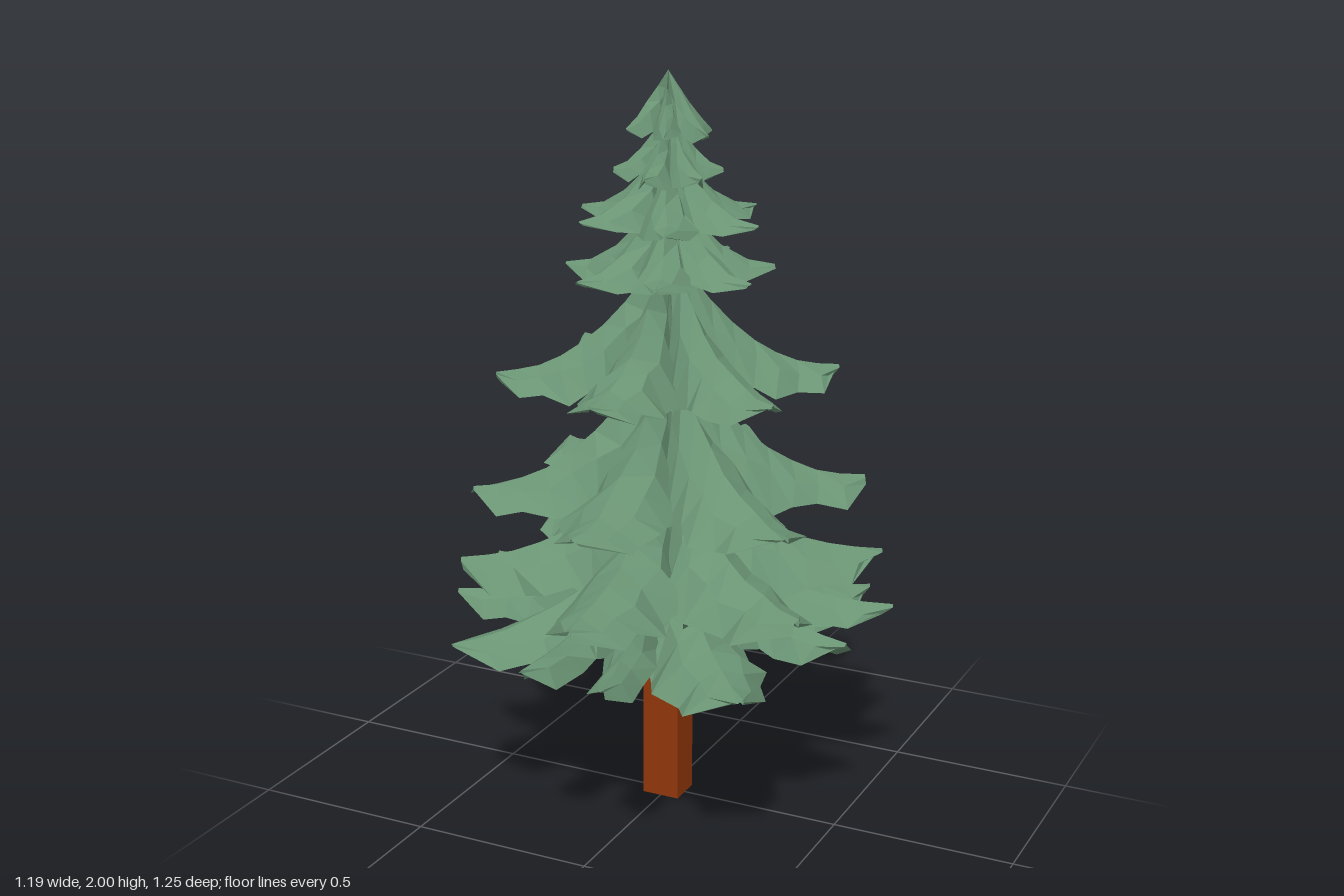
import * as THREE from 'three';

const needles = new THREE.MeshStandardMaterial({ color: 0x6a9474, flatShading: true, side: THREE.DoubleSide });
needles.name = 'needleGreen';
const bark = new THREE.MeshStandardMaterial({ color: 0x90370a, flatShading: true });
bark.name = 'barkBrown';

// small seeded random, -1..1
let seed = 11;
function rnd() {
  seed = (seed * 16807) % 2147483647;
  return (seed / 2147483647) * 2 - 1;
}

// half width of a bough along its length, as a share of its reach
const LARGE = [0.01, 0.12, 0.2, 0.26, 0.24, 0.29, 0.21, 0.22, 0.03];
const SMALL = [0.01, 0.22, 0.3, 0.24, 0.03];
const SLIM = [0.01, 0.02, 0.04, 0.07, 0.1, 0.14, 0.11, 0.12, 0.02];

// One drooping bough along +x: a folded ridge with ragged hanging edges and an arched underside
function boughGeometry(widths, reach, apex, tip, power, width, hang) {
  const rows = widths.map((share, i) => {
    const t = i / (widths.length - 1);
    const rag = i > 1 ? 1 : 0;
    const ridge = tip + (apex - tip) * Math.pow(1 - t, power);
    const depth = (ridge - tip + hang) * (t === 1 ? 0.4 : 1);
    const side = (s) => {
      const w = s * share * reach * width * (1 + 0.12 * rnd() * rag);
      return [
        [t * reach * (0.97 + 0.05 * rnd() * rag), ridge - depth * (0.88 + 0.2 * rnd() * rag), w],
        [t * reach, ridge - depth * (0.3 + 0.06 * rnd() * rag), w * 0.5],
      ];
    };
    const l = side(-1), r = side(1);
    const arch = [t * reach * 0.98, ridge - depth * 0.36, 0];
    return [l[0], l[1], [t * reach, ridge, 0.006 * rnd() * rag], r[1], r[0], arch];
  });
  const pos = [];
  for (let i = 0; i < rows.length - 1; i++) {
    for (let j = 0; j < 6; j++) {
      const k = (j + 1) % 6;
      const a = rows[i][j], b = rows[i][k], c = rows[i + 1][k], d = rows[i + 1][j];
      pos.push(...a, ...b, ...c, ...a, ...c, ...d);
    }
  }
  const g = new THREE.BufferGeometry();
  g.setAttribute('position', new THREE.Float32BufferAttribute(pos, 3));
  g.computeVertexNormals();
  return g;
}

function addBough(group, deg, ...shape) {
  const mesh = new THREE.Mesh(boughGeometry(...shape), needles);
  mesh.name = 'bough';
  mesh.rotation.y = -THREE.MathUtils.degToRad(deg);
  group.add(mesh);
}

export function createModel() {
  const tree = new THREE.Group();
  tree.name = 'firTree';

  // square trunk
  const trunk = new THREE.Mesh(new THREE.BoxGeometry(0.105, 0.67, 0.095), bark);
  trunk.name = 'trunk';
  trunk.position.y = 0.335;
  tree.add(trunk);

  // little bare branch beside the trunk
  const twig = new THREE.Mesh(new THREE.CylinderGeometry(0.018, 0.01, 0.14, 5), bark);
  twig.name = 'bareBranch';
  twig.position.set(0.07, 0.57, -0.13);
  twig.rotation.set(-0.2, 0, -0.2);
  tree.add(twig);

  // regular tiers, top to bottom
  const tiers = [
    { apex: 2.0, tip: 1.85, reach: 0.12, power: 1.15, count: 6, turn: 8, hang: 0.02, widths: SMALL },
    { apex: 1.9, tip: 1.755, reach: 0.145, power: 1.6, count: 6, turn: 30, hang: 0.035, widths: SMALL },
    { apex: 1.83, tip: 1.63, reach: 0.26, power: 2, count: 6, turn: 5, hang: 0.03, widths: SMALL },
    { apex: 1.72, tip: 1.49, reach: 0.28, power: 2.1, count: 7, turn: 20, hang: 0.035, widths: SMALL },
    { apex: 1.56, tip: 1.215, reach: 0.44, power: 2.2, count: 6, turn: 30, hang: 0.06, widths: LARGE },
    { apex: 1.31, tip: 0.915, reach: 0.53, power: 2.2, count: 6, turn: 30, hang: 0.06, widths: LARGE },
    { apex: 0.97, tip: 0.695, reach: 0.57, power: 2, count: 6, turn: 30, hang: 0.08, widths: LARGE },
  ];
  tiers.forEach((tier, k) => {
    const group = new THREE.Group();
    group.name = 'tier' + (k + 1);
    for (let i = 0; i < tier.count; i++) {
      addBough(group, tier.turn + (i * 360) / tier.count + 2 * rnd(), tier.widths, tier.reach * (1 + 0.04 * rnd()),
        tier.apex, tier.tip + 0.01 * rnd(), tier.power, 1, tier.hang);
    }
    tree.add(group);
  });

  // ragged lowest tier: [angle, reach, tip height, width, profile]
  const skirt = new THREE.Group();
  skirt.name = 'lowestTier';
  const boughs = [
    [47, 0.61, 0.53, 0.85, LARGE], [133, 0.61, 0.53, 0.85, LARGE],
    [-47, 0.61, 0.53, 0.85, LARGE], [-131, 0.61, 0.53, 0.85, LARGE],
    [11, 0.57, 0.58, 1, SLIM], [-17, 0.61, 0.59, 1, SLIM], [164, 0.59, 0.56, 1, SLIM], [190, 0.6, 0.58, 1, SLIM],
    [79, 0.63, 0.57, 0.8, SLIM], [100, 0.63, 0.58, 0.7, SLIM], [-79, 0.6, 0.58, 1, SLIM], [-98, 0.63, 0.59, 1, SLIM],
  ];
  for (const [deg, reach, tip, width, profile] of boughs) {
    addBough(skirt, deg, profile, reach, 0.8, tip, 1.9, width, 0.065);
  }
  tree.add(skirt);

  return tree;
}
